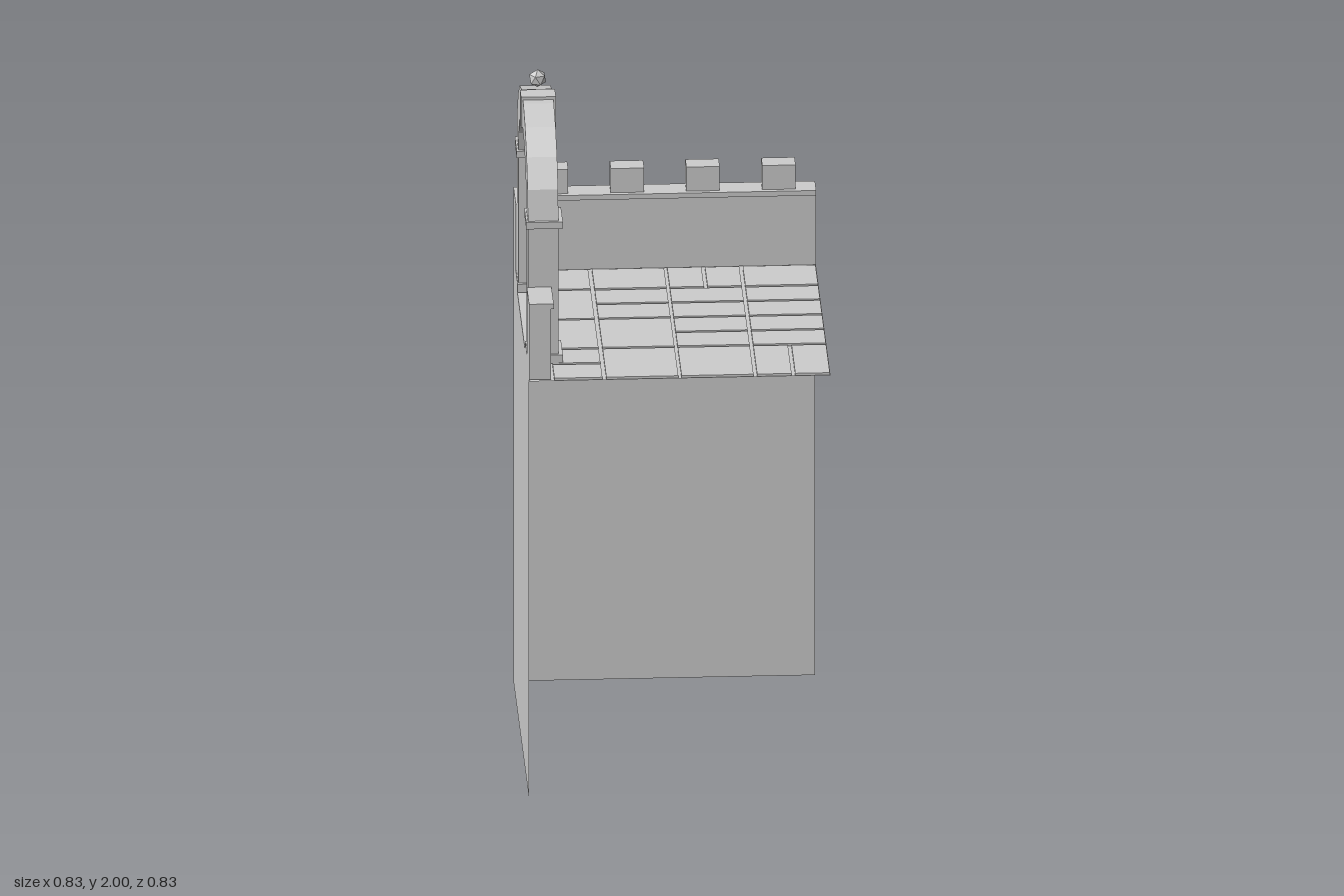
import * as THREE from 'three';

export function createModel() {
  const model = new THREE.Group();
  const stone = new THREE.MeshStandardMaterial({ color: 0xcccccc, side: THREE.DoubleSide });
  stone.name = 'pale grey stone';

  const add = (name, geometry, parent = model) => {
    const mesh = new THREE.Mesh(geometry, stone);
    mesh.name = name;
    parent.add(mesh);
    return mesh;
  };
  const group = (name) => {
    const g = new THREE.Group();
    g.name = name;
    model.add(g);
    return g;
  };
  // Box given by its limits on each axis
  const block = (name, x0, x1, y0, y1, z0, z1, parent) =>
    add(name, new THREE.BoxGeometry(x1 - x0, y1 - y0, z1 - z0)
      .translate((x0 + x1) / 2, (y0 + y1) / 2, (z0 + z1) / 2), parent);

  const E = 0.415, FLOOR = 1.25, TOP = 1.475;

  // Tall open walls below the floor: single sheets on two sides
  const sheet = () => new THREE.PlaneGeometry(2 * E, FLOOR);
  add('lowerBackWall', sheet().rotateY(Math.PI).translate(0, FLOOR / 2, -E));
  add('lowerSideWall', sheet().rotateY(-Math.PI / 2).translate(-E, FLOOR / 2, 0));

  // Floor sheet with raised paving slabs
  add('floor', new THREE.PlaneGeometry(2 * E, 2 * E).rotateX(-Math.PI / 2).translate(0, FLOOR - 0.005, 0));
  const paving = group('paving');
  const columns = [
    { x: [-0.345, -0.213], rows: [[-0.205, -0.005], [0.004, 0.201], [0.212, 0.306], [0.317, 0.412]] },
    { x: [-0.202, -0.004], rows: [[-0.35, -0.214], [-0.203, -0.11], [-0.1, -0.006], [0.004, 0.201], [0.212, 0.412]] },
    { x: [0.005, 0.203], rows: [[-0.203, -0.11], [-0.1, -0.006], [0.004, 0.098], [0.108, 0.201], [0.212, 0.412]] },
    { x: [0.213, 0.413], rows: [[-0.35, -0.214], [-0.203, -0.11], [-0.1, -0.006], [0.004, 0.098], [0.108, 0.201]] },
  ];
  const slab = (x, z) => block('slab', x[0], x[1], FLOOR - 0.005, FLOOR + 0.002, z[0], z[1], paving);
  for (const { x, rows } of columns) for (const z of rows) slab(x, z);
  // Narrow slabs that break the regular pattern
  for (const x of [[-0.345, -0.318], [-0.308, -0.213], [0.005, 0.099], [0.109, 0.203]]) slab(x, [-0.35, -0.214]);
  for (const x of [[0.213, 0.308], [0.318, 0.413]]) slab(x, [0.212, 0.412]);

  // Parapets with a slightly wider coping
  const parapet = group('parapet');
  block('backParapet', -E, E, FLOOR, 1.46, -E, -0.355, parapet);
  block('backCoping', -E, E, 1.46, TOP, -E, -0.347, parapet);
  for (const [z0, z1] of [[-0.355, -0.295], [0.295, E]]) {
    block('sideParapet', -E, -0.355, FLOOR, 1.46, z0, z1, parapet);
    block('sideCoping', -E, -0.347, 1.46, TOP, z0, z1, parapet);
  }

  // Battlements along the back
  for (const x of [-0.313, -0.104, 0.104, 0.313])
    block('merlon', x - 0.046, x + 0.046, TOP, 1.547, -E, -0.36, parapet);

  // Arch pillars with base and capital
  const arch = group('archway');
  const SPRING = 1.672, X0 = -0.412, X1 = -0.328;
  for (const s of [-1, 1]) {
    const c = s * 0.252;
    block('pillar', X0, X1, FLOOR, SPRING, c - 0.043, c + 0.043, arch);
    block('pillarBase', -E, -0.316, FLOOR, 1.275, c - 0.052, c + 0.052, arch);
    block('capital', -0.417, -0.316, 1.652, SPRING, c - 0.052, c + 0.052, arch);
  }

  // Nine-sided arch ring, drawn in the z-y plane
  const points = [];
  const STEPS = 9;
  for (let i = 0; i <= STEPS; i++) {
    const a = (i / STEPS) * Math.PI;
    points.push(new THREE.Vector2(0.295 * Math.cos(a), 0.252 * Math.sin(a)));
  }
  for (let i = STEPS; i >= 0; i--) {
    const a = (i / STEPS) * Math.PI;
    points.push(new THREE.Vector2(0.209 * Math.cos(a), 0.165 * Math.sin(a)));
  }
  const ring = new THREE.ExtrudeGeometry(new THREE.Shape(points), { depth: X1 - X0, bevelEnabled: false });
  add('archRing', ring.rotateY(-Math.PI / 2).translate(X1, SPRING, 0), arch);

  // Keystone and faceted ball finial
  block('keystone', -0.417, -0.321, 1.838, 1.929, -0.026, 0.026, arch);
  const ball = new THREE.IcosahedronGeometry(0.026, 0).rotateZ(Math.atan(2 / (1 + Math.sqrt(5))));
  add('finial', ball.translate(-0.37, 1.974, 0), arch);

  return model;
}
